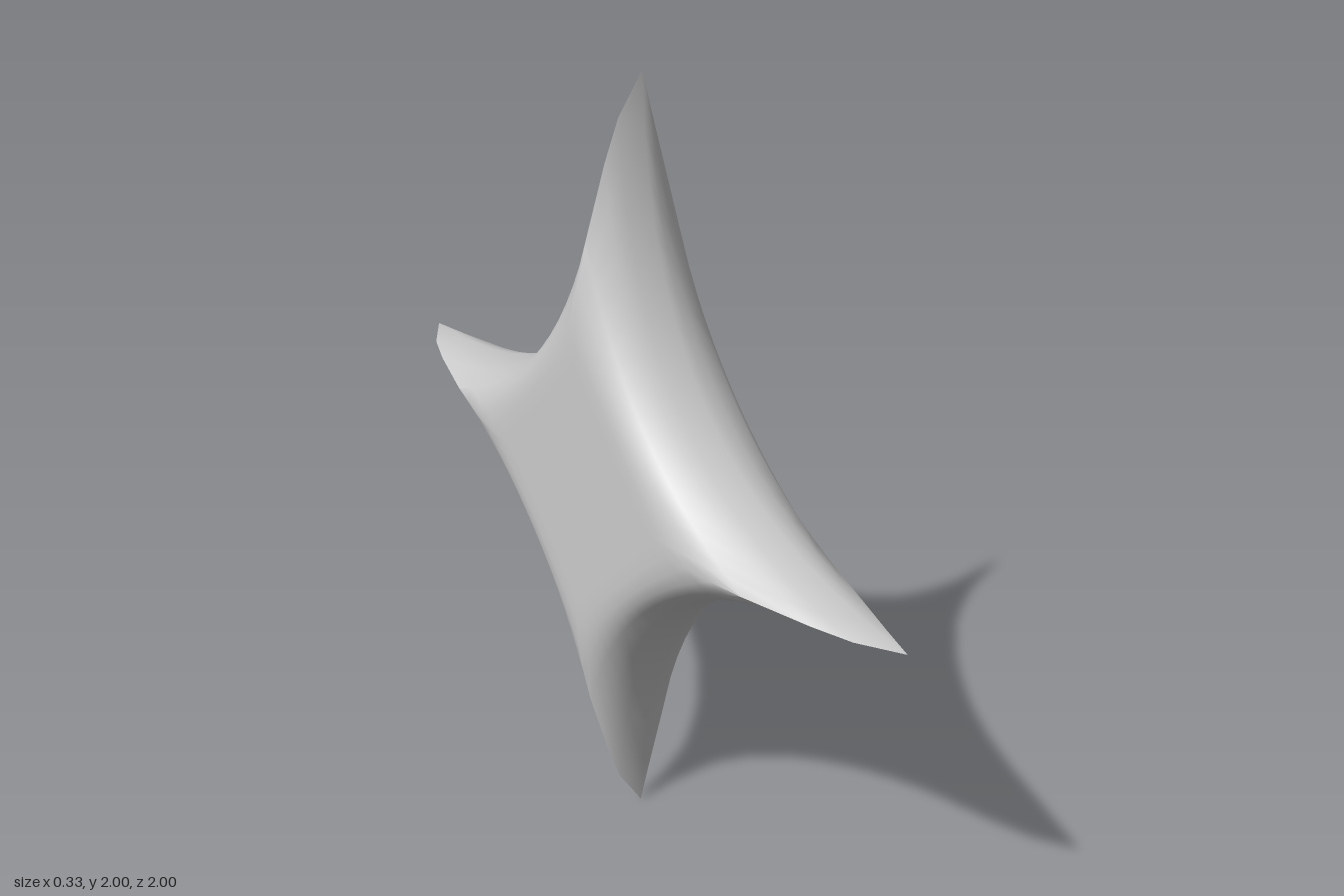
import * as THREE from 'three';
import { toCreasedNormals } from 'three/addons/utils/BufferGeometryUtils.js';

// Cross-sections along x: [x, reach of the points, half-width on the diagonal]
const SECTIONS = [
  [0.165, 0, 0], [0.165, 0.35, 0.16], [0.165, 0.41, 0.19], [0.159, 0.47, 0.21],
  [0.147, 0.53, 0.226], [0.125, 0.62, 0.242], [0.077, 0.8, 0.257], [0.05, 0.9, 0.262],
  [0.025, 1, 0.265],
  [-0.04, 0.9, 0.261], [-0.077, 0.8, 0.256], [-0.13, 0.62, 0.24], [-0.15, 0.53, 0.225],
  [-0.161, 0.45, 0.208], [-0.165, 0.38, 0.185], [-0.165, 0.32, 0.155], [-0.165, 0, 0],
];
const STEPS = 14; // segments per concave side

// Four-pointed ring: one concave curve turned four times about x
function starRing([x, reach, mid]) {
  const c = 2 * (mid - reach / 4); // control point that puts the curve's middle at mid
  const ring = [];
  for (let q = 0; q < 4; q++) {
    for (let k = 0; k < STEPS; k++) {
      const t = k / STEPS;
      const bend = 2 * t * (1 - t) * c;
      let y = (1 - t) ** 2 * reach + bend;
      let z = t * t * reach + bend;
      for (let r = 0; r < q; r++) [y, z] = [-z, y];
      ring.push(x, y + 1, z);
    }
  }
  return ring;
}

function starGeometry() {
  const n = STEPS * 4;
  const last = SECTIONS.length - 2;
  const index = [];
  for (let i = 0; i <= last; i++) {
    for (let j = 0; j < n; j++) {
      const a = i * n + j, b = i * n + (j + 1) % n;
      const c = a + n, d = b + n;
      if (i > 0) index.push(a, c, b);
      if (i < last) index.push(b, c, d);
      else continue;
    }
  }
  const geo = new THREE.BufferGeometry();
  geo.setAttribute('position', new THREE.Float32BufferAttribute(SECTIONS.flatMap(starRing), 3));
  geo.setIndex(index);
  return toCreasedNormals(geo, 1.0);
}

export function createModel() {
  const group = new THREE.Group();
  group.name = 'fourPointedStar';
  const star = new THREE.Mesh(starGeometry(), new THREE.MeshStandardMaterial({ color: 0xcccccc }));
  star.name = 'starBody';
  group.add(star);
  return group;
}
